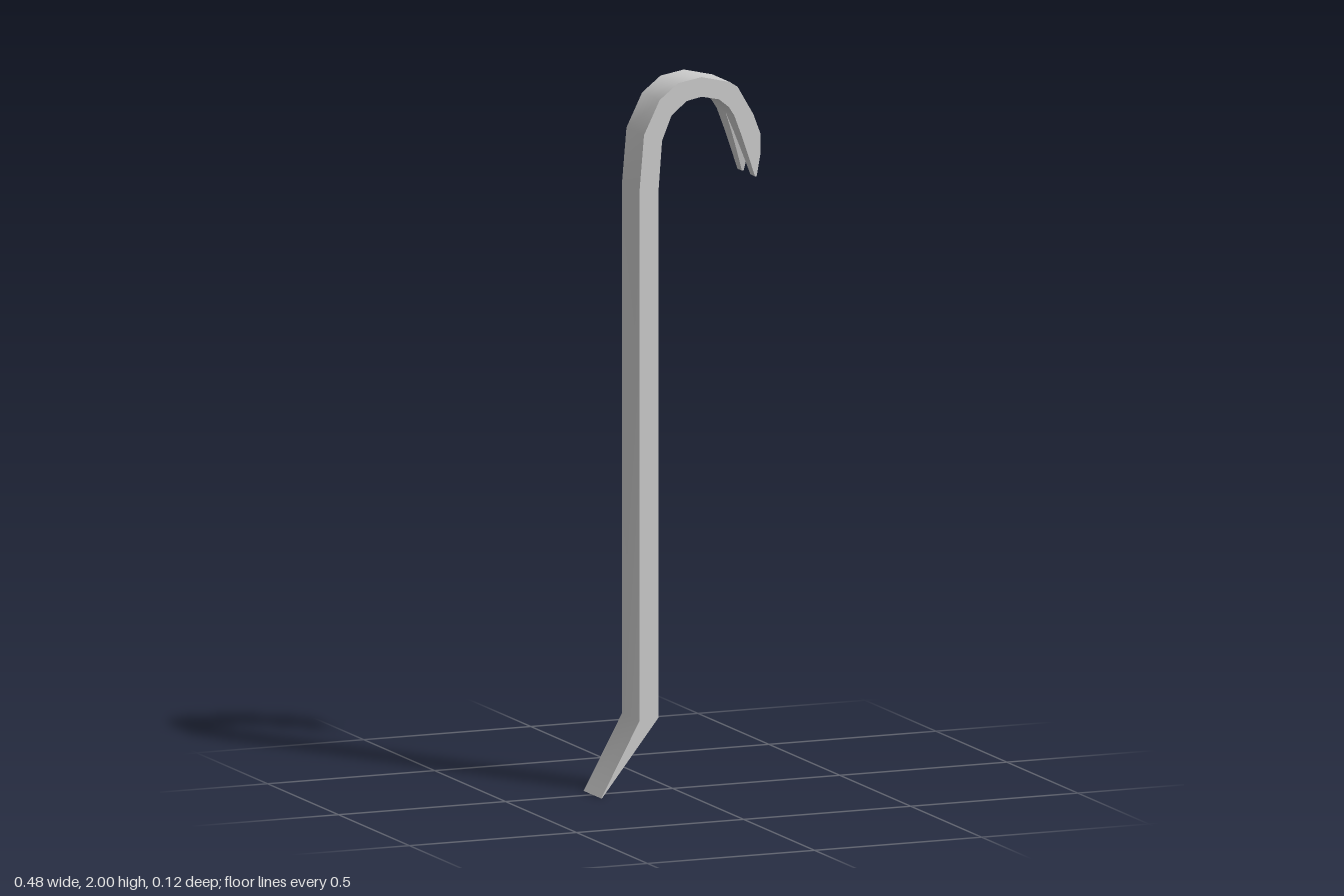
import * as THREE from 'three';
import { toCreasedNormals } from 'three/addons/utils/BufferGeometryUtils.js';

const HALF = 0.062; // half the bar's width in z

// Stations along the bar: [outer x, outer y, inner x, inner y]
const bar = [
  [-0.24, 0, -0.238, 0],           // chisel edge
  [-0.125, 0.21, -0.068, 0.215],   // chisel bend
  [-0.125, 1.70, -0.068, 1.70],    // shank top
  [-0.112, 1.85, -0.058, 1.83],
  [-0.065, 1.945, -0.03, 1.898],
  [-0.01, 1.988, 0.015, 1.936],
  [0.06, 2.0, 0.06, 1.945],
  [0.145, 1.98, 0.112, 1.934],
  [0.168, 1.965, 0.142, 1.91],
  [0.215, 1.885, 0.158, 1.885],    // root of the claw notch
];
const claw = [
  bar[bar.length - 1],
  [0.236, 1.83, 0.179, 1.83],
  [0.236, 1.77, 0.2, 1.77],
  [0.225, 1.71, 0.22, 1.71],       // claw tips
];
const notch = (y) => Math.max(0, (1.885 - y) * 0.17);

// Adds a swept strip between z limits given as functions of height
function sweep(out, stations, zMin, zMax, capStart, capEnd) {
  const rings = stations.map(([ox, oy, ix, iy]) => [
    [ox, oy, zMin(oy)], [ox, oy, zMax(oy)], [ix, iy, zMax(iy)], [ix, iy, zMin(iy)],
  ]);
  const quad = (a, b, c, d) => out.push(...a, ...b, ...c, ...a, ...c, ...d);
  for (let i = 0; i < rings.length - 1; i++) {
    const p = rings[i], q = rings[i + 1];
    for (let k = 0; k < 4; k++) {
      const n = (k + 1) % 4;
      quad(p[k], p[n], q[n], q[k]);
    }
  }
  const s = rings[0], e = rings[rings.length - 1];
  if (capStart) quad(s[3], s[2], s[1], s[0]);
  if (capEnd) quad(e[0], e[1], e[2], e[3]);
}

export function createModel() {
  const group = new THREE.Group();
  group.name = 'pryBar';

  const points = [];
  // Chisel, shank and hook
  sweep(points, bar, () => -HALF, () => HALF, true, false);
  // Two claw prongs on either side of the notch
  sweep(points, claw, notch, () => HALF, false, true);
  sweep(points, claw, () => -HALF, (y) => -notch(y), false, true);

  const geometry = new THREE.BufferGeometry();
  geometry.setAttribute('position', new THREE.Float32BufferAttribute(points, 3));
  const mesh = new THREE.Mesh(
    toCreasedNormals(geometry, 0.6),
    new THREE.MeshStandardMaterial({ color: 0xcccccc }),
  );
  mesh.name = 'clawBar';
  group.add(mesh);
  return group;
}
